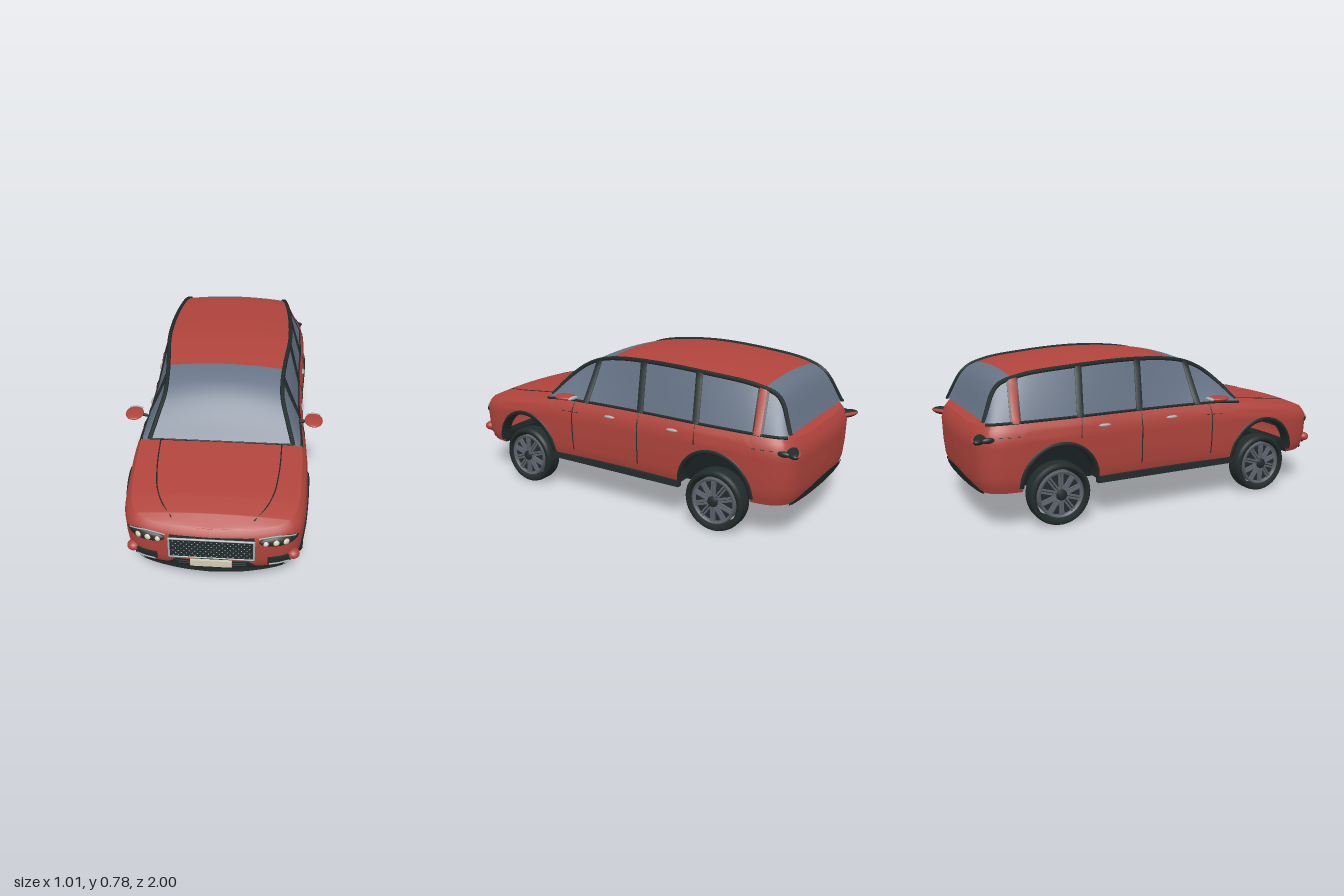
import * as THREE from 'three';
import { mergeGeometries } from 'three/addons/utils/BufferGeometryUtils.js';

const mat = (name, color, side = THREE.DoubleSide) => {
  const m = new THREE.MeshStandardMaterial({ color, side });
  m.name = name;
  return m;
};
const paint = mat('red paint', 0xb0443c);
const glass = mat('tinted glass', 0x667386);
const trim = mat('black trim', 0x222c2c);
const under = mat('underbody black', 0x151b1c);
const metal = mat('wheel metal', 0x5d626c);
const silver = mat('bright silver', 0xa9b1b5);
const cream = mat('cream lamp', 0xd3ccb2);

const lerp = THREE.MathUtils.lerp;
const range = (n, a, b) => Array.from({ length: n + 1 }, (_, i) => lerp(a, b, i / n));
const V = (p) => new THREE.Vector3(...p);

// Piecewise linear table with ascending keys
function lookup(tab, t) {
  if (t <= tab[0][0]) return tab[0][1];
  for (let i = 1; i < tab.length; i++) {
    const [a, va] = tab[i - 1], [b, vb] = tab[i];
    if (t <= b) return lerp(va, vb, (t - a) / (b - a));
  }
  return tab[tab.length - 1][1];
}

// Smooth curve through [z, x, y] points, read by z (front to back)
function byZ(pts) {
  const s = new THREE.CatmullRomCurve3(pts.map(([z, x, y = 0]) => V([x, y, z])), false, 'centripetal').getPoints(220);
  const at = (z) => {
    const i = s.findIndex((p) => p.z <= z);
    if (i < 0) return s[s.length - 1].clone();
    if (i === 0) return s[0].clone();
    return s[i - 1].clone().lerp(s[i], (s[i - 1].z - z) / (s[i - 1].z - s[i].z));
  };
  return { s, at };
}

// Body outline in plan, and shoulder / centre heights along z
const plan = byZ([[0.965, 0], [0.952, 0.2], [0.918, 0.34], [0.86, 0.398], [0.55, 0.43], [0.1, 0.414], [-0.2, 0.414],
  [-0.6, 0.427], [-0.9, 0.407], [-0.96, 0.35], [-0.985, 0.2], [-0.992, 0]]);
const edgeY = (z) => lookup([[-0.99, 0.495], [-0.93, 0.515], [0.3, 0.512], [0.42, 0.503], [0.6, 0.482], [0.8, 0.455], [0.9, 0.435], [0.965, 0.412]], z);
const midY = (z) => lookup([[-0.99, 0.498], [-0.93, 0.518], [0.42, 0.516], [0.6, 0.5], [0.8, 0.474], [0.9, 0.45], [0.965, 0.414]], z);
const inset = (t) => lookup([[0, 0.025], [0.15, 0.01], [0.4, 0.003], [0.75, 0], [0.9, 0.01], [1, 0.03]], t);
const frontInset = (y) => inset((y - 0.19) / 0.23);
const wall = (z, y) => {
  const k = inset((y - 0.19) / (edgeY(z) - 0.19));
  return [plan.at(z).x * (1 - k / 0.42), y, z * (1 - k / 0.98)];
};
const frontZ = (x, y) => plan.s.find((p) => p.x >= Math.abs(x)).z - frontInset(y);
const backS = [...plan.s].reverse();
const rearZ = (x, y) => backS.find((p) => p.x >= Math.abs(x)).z + inset((y - 0.19) / 0.31);

// Wheel arches
const axles = [0.565, -0.595], archY = 0.21, archR = 0.195;
const archAt = (z) => axles.find((c) => Math.abs(z - c) <= archR + 1e-6);
const bottomY = (z) => {
  const c = archAt(z);
  return c === undefined ? 0.19 : archY + Math.sqrt(Math.max(0, archR ** 2 - (z - c) ** 2));
};
const stations = [
  ...plan.s.filter((p) => archAt(p.z) === undefined).map((p) => p.z),
  ...axles.flatMap((c) => range(28, 0, Math.PI).map((a) => c + archR * Math.cos(a))),
].sort((a, b) => b - a);
const chinY = (x, z) => 0.19 - 0.037 * THREE.MathUtils.smoothstep(z, 0.78, 0.92) * Math.max(0, 1 - (x / 0.36) ** 2);

// Greenhouse: roof edge from windscreen base to tailgate glass base
const roofEdge = byZ([[0.42, 0.355, 0.512], [0.34, 0.322, 0.6], [0.25, 0.294, 0.675], [0.15, 0.292, 0.722], [0.03, 0.303, 0.746],
  [-0.2, 0.327, 0.759], [-0.5, 0.325, 0.745], [-0.75, 0.302, 0.715], [-0.85, 0.286, 0.672], [-0.93, 0.335, 0.52]]);
const sidePoint = (z, t, out = 0) => {
  const e = roofEdge.at(z), b = wall(z, edgeY(z));
  return [lerp(b[0], e.x, t) + out, lerp(b[1], e.y, t), z];
};

export function createModel() {
  const car = new THREE.Group();
  car.name = 'estate car';
  const add = (name, geo, m, parent = car) => {
    const mesh = new THREE.Mesh(geo, m);
    mesh.name = name;
    parent.add(mesh);
    return mesh;
  };
  // Surface from equal-length rows of points
  const grid = (rows) => {
    const g = new THREE.BufferGeometry(), n = rows[0].length, idx = [];
    g.setAttribute('position', new THREE.Float32BufferAttribute(rows.flat(2), 3));
    for (let i = 0; i < rows.length - 1; i++) for (let j = 0; j < n - 1; j++) {
      const a = i * n + j;
      idx.push(a, a + n, a + 1, a + 1, a + n, a + n + 1);
    }
    g.setIndex(idx);
    g.computeVertexNormals();
    return g;
  };
  const flip = (s) => ([x, y, z]) => [s * x, y, z];
  const tube = (pts, r) => new THREE.TubeGeometry(new THREE.CatmullRomCurve3(pts.map(V)), pts.length * 4, r, 6);
  const ball = (sx, sy, sz, x, y, z, ry = 0) =>
    new THREE.SphereGeometry(1, 24, 14).scale(sx, sy, sz).rotateY(ry).translate(x, y, z);
  // Wraps a flat geometry onto the nose
  const onNose = (g, lift) => {
    const p = g.attributes.position;
    for (let i = 0; i < p.count; i++) p.setZ(i, p.getZ(i) + lift + frontZ(p.getX(i), p.getY(i)));
    g.computeVertexNormals();
    return g;
  };

  // Lower body shell, hood and deck, floor
  const columns = stations.map((z) => range(12, 0, 1).map((v) => wall(z, lerp(bottomY(z), edgeY(z), v))));
  add('bodyShell', grid([...columns.map((c) => c.map(flip(-1))).reverse(), ...columns]), paint);
  const deckPoint = (z, s) => {
    const [x, y, zz] = wall(z, edgeY(z));
    return [x * s, y + (midY(z) - y) * (1 - s * s), zz];
  };
  add('hoodAndDeck', grid(stations.map((z) => range(12, -1, 1).map((s) => deckPoint(z, s)))), paint);
  add('floor', grid(stations.map((z) => {
    const [x, , zz] = wall(z, 0.19), w = archAt(z) === undefined ? x : 0.31;
    return range(10, -w, w).map((q) => [q, chinY(q, z), zz]);
  })), under);

  // Windscreen, roof and tailgate glass across the roof edges
  const across = (z0, z1) => grid(range(30, z0, z1).map((z) => {
    const e = roofEdge.at(z), crown = 0.02 * THREE.MathUtils.clamp((e.y - 0.5) / 0.2, 0.1, 1);
    return range(12, -1, 1).map((s) => [e.x * s, e.y + crown * (1 - s * s), z]);
  }));
  add('windscreen', across(0.42, 0.08), glass);
  add('roof', across(0.08, -0.78), paint);
  add('tailgateGlass', across(-0.78, -0.93), glass);
  add('cowlSeal', tube(range(6, -0.36, 0.36).map((x) => [x, 0.515, 0.42]), 0.004), trim);

  const zs = range(50, 0.42, -0.93);
  for (const s of [1, -1]) {
    const m = flip(s);
    // Side glass, frames and pillars
    add('sideGlass', grid(zs.map((z) => range(4, 0, 1).map((t) => m(sidePoint(z, t))))), glass);
    add('roofFrame', tube(zs.map((z) => m(sidePoint(z, 1))), 0.011), trim);
    add('beltFrame', tube(zs.map((z) => m(sidePoint(z, 0.01))), 0.007), trim);
    const pillar = (name, zb, zt, w, out, material) => add(name, grid([[-w, -0.004], [-w, out], [w, out], [w, -0.004]].map(([d, o]) =>
      range(6, 0, 1).map((t) => m(sidePoint(lerp(zb, zt, t) + d, t, o))))), material);
    for (const [zb, zt] of [[0.17, 0.145], [-0.165, -0.15], [-0.485, -0.465]]) pillar('doorPillar', zb, zt, 0.016, 0.009, trim);
    pillar('rearPillarSeal', -0.8, -0.78, 0.024, 0.006, trim);
    pillar('rearPillar', -0.8, -0.78, 0.016, 0.01, paint);

    // Arch trims with a lip turned inwards, and sill
    for (const c of axles) {
      add('archTrim', grid(range(28, 0, Math.PI).map((a) => [[0.202, 0.002], [0.198, 0.008], [0.182, 0.008], [0.18, -0.05]].map(([r, o]) => {
        const z = c + r * Math.cos(a), y = archY + r * Math.sin(a);
        return m([wall(z, y)[0] + o, y, z]);
      }))), trim);
    }
    add('sill', new THREE.BoxGeometry(0.03, 0.032, 0.78).translate(s * 0.398, 0.196, -0.012), trim);

    // Door seams, hood seam, small side vents, handles
    for (const [z, y0] of [[0.245, 0.25], [-0.16, 0.25], [-0.49, 0.42]])
      add('doorSeam', tube(range(8, y0, 0.51).map((y) => m(wall(z, y))), 0.003), trim);
    add('hoodSeam', tube([[0.3, 0.42], [0.292, 0.6], [0.27, 0.76], [0.235, 0.85], [0.185, 0.92]].map(([x, z]) =>
      deckPoint(z, s * x / wall(z, edgeY(z))[0])), 0.003), trim);
    for (const z of [0.31, 0.27, 0.23, -0.79, -0.83, -0.87])
      add('sideDash', tube([z, z - 0.02].map((q) => m(wall(q, 0.457))), 0.002), trim);
    for (const z of [0.01, -0.365]) add('doorHandle', ball(0.009, 0.008, 0.032, s * wall(z, 0.465)[0], 0.465, z), silver);

    // Mirrors
    add('mirrorShell', ball(0.046, 0.013, 0.06, s * 0.457, 0.547, 0.25), paint);
    add('mirrorGlass', ball(0.036, 0.009, 0.012, s * 0.457, 0.547, 0.199), silver);
    add('mirrorArm', tube([[s * 0.39, 0.535, 0.25], [s * 0.43, 0.545, 0.25]], 0.008), trim);

    // Headlights with three lamps and a bright brow
    add('headlight', onNose(ball(0.089, 0.026, 0.014, s * 0.3, 0.362, 0), 0.002), trim);
    for (const [x, r] of [[0.242, 0.012], [0.288, 0.014], [0.332, 0.014]])
      add('lamp', onNose(ball(r, r, 0.007, s * x, 0.362, 0), 0.014), cream);
    add('headlightBrow', tube([[0.21, 0.382], [0.25, 0.387], [0.3, 0.389], [0.34, 0.383], [0.375, 0.372]].map(([x, y]) =>
      [s * x, y, frontZ(x, y) + 0.006]), 0.0035), silver);

    // Bumper corner vents
    add('cornerVent', onNose(new THREE.BoxGeometry(0.105, 0.042, 0.012, 8, 2, 1).translate(s * 0.304, 0.243, 0), 0.004), trim);
    add('cornerVentStrip', tube([0.26, 0.3, 0.35].map((x) => [s * x, 0.228, frontZ(x, 0.228) + 0.012]), 0.0035), silver);
    add('bumperCorner', ball(0.03, 0.024, 0.03, s * 0.367, 0.256, 0.895), paint);

    // Tail lights wrapping the rear corners
    add('tailLightHousing', ball(0.075, 0.021, 0.03, s * 0.352, 0.45, -0.953, s * 0.55), trim);
    add('tailLight', ball(0.07, 0.012, 0.03, s * 0.348, 0.452, -0.96, s * 0.55), paint);
    add('tailLightTip', ball(0.012, 0.014, 0.03, s * 0.397, 0.45, -0.93), trim);
  }

  // Grille: dark panel, bright surround, staggered studs
  const gw = 0.19, gh = 0.053, gy = 0.329;
  add('grillePanel', new THREE.BoxGeometry(2 * gw, 2 * gh, 0.04).translate(0, gy, 0.955), trim);
  const frame = [[-gw, -gh], [gw, -gh], [gw, gh], [-gw, gh]].map(([x, y]) => [x, gy + y, 0.973]);
  frame.forEach((p, i) => {
    const q = frame[(i + 1) % 4];
    add('grilleSurround', new THREE.TubeGeometry(new THREE.LineCurve3(V(p), V(q)), 1, 0.005, 8), silver);
    add('grilleCorner', ball(0.005, 0.005, 0.005, ...p), silver);
  });
  const studs = [];
  for (let r = 0; r < 7; r++) for (let c = 0; c < 15 - (r % 2); c++)
    studs.push(new THREE.OctahedronGeometry(0.0035).translate((c - 7 + (r % 2) / 2) * 0.0245, gy + (r - 3) * 0.0135, 0.976));
  add('grilleStuds', mergeGeometries(studs), silver);
  add('blankPlate', new THREE.BoxGeometry(0.186, 0.034, 0.012).translate(0, 0.263, 0.992), cream);
  add('plateBracket', new THREE.BoxGeometry(0.15, 0.026, 0.05).translate(0, 0.263, 0.962), trim);

  // Lower intake, chin and rear diffuser
  const xs = range(24, -1, 1);
  add('lowerIntake', grid(range(3, 0, 1).map((v) => xs.map((u) => {
    const x = u * lerp(0.205, 0.165, v), y = lerp(0.205, 0.246, v);
    return [x, y, frontZ(x, y) + 0.006];
  }))), trim);
  for (const y of [0.222, 0.236])
    add('intakeSlat', tube(range(6, -0.155, 0.155).map((x) => [x, y, frontZ(x, y) + 0.009]), 0.004), under);
  add('chin', grid(range(4, 0, 1).map((v) => xs.map((u) => {
    const x = u * 0.345, y = lerp(0.21 - 0.015 * u ** 4, chinY(x, 0.95), v);
    return [x, y, frontZ(x, y) + 0.006 * (1 - v)];
  }))), trim);
  add('rearDiffuser', grid(range(4, 0, 1).map((v) => xs.map((u) => {
    const x = u * 0.34, y = lerp(0.188, 0.2 + 0.045 * (1 - u * u), v);
    return [x, y, rearZ(x, y) - 0.005];
  }))), trim);

  // Wheels: hollow tyre ring, rim, spokes and hub
  const turn = (pts, n = 40) => new THREE.LatheGeometry(pts.map(([r, h]) => new THREE.Vector2(r, h)), n).rotateZ(-Math.PI / 2);
  const tyre = turn([[0.126, -0.045], [0.14, -0.048], [0.149, -0.041], [0.153, -0.025], [0.153, 0.025], [0.149, 0.041],
    [0.14, 0.048], [0.126, 0.045], [0.126, -0.045]]);
  const rim = turn([[0, -0.03], [0.112, -0.03], [0.115, 0.042], [0.105, 0.046], [0.1, 0.03], [0, 0.03]]);
  const spokes = mergeGeometries(range(19, 0, 19).map((i) => new THREE.BoxGeometry(0.014, 0.075, 0.008)
    .translate(0.038, 0.064, i % 2 ? 0.007 : -0.007).rotateX(Math.floor(i / 2) * Math.PI / 5)));
  const pockets = turn([[0.035, 0.0315], [0.098, 0.0315]]);
  const hub = turn([[0.028, 0.03], [0.026, 0.048], [0.016, 0.055], [0, 0.055]], 20);
  for (const z of axles) for (const s of [1, -1]) {
    const wheel = new THREE.Group();
    wheel.name = 'wheel';
    wheel.position.set(s * 0.373, 0.153, z);
    if (s < 0) wheel.rotation.y = Math.PI;
    add('tyre', tyre, trim, wheel);
    add('rim', rim, metal, wheel);
    add('rimPockets', pockets, trim, wheel);
    add('spokes', spokes, metal, wheel);
    add('hub', hub, trim, wheel);
    car.add(wheel);
  }
  return car;
}
